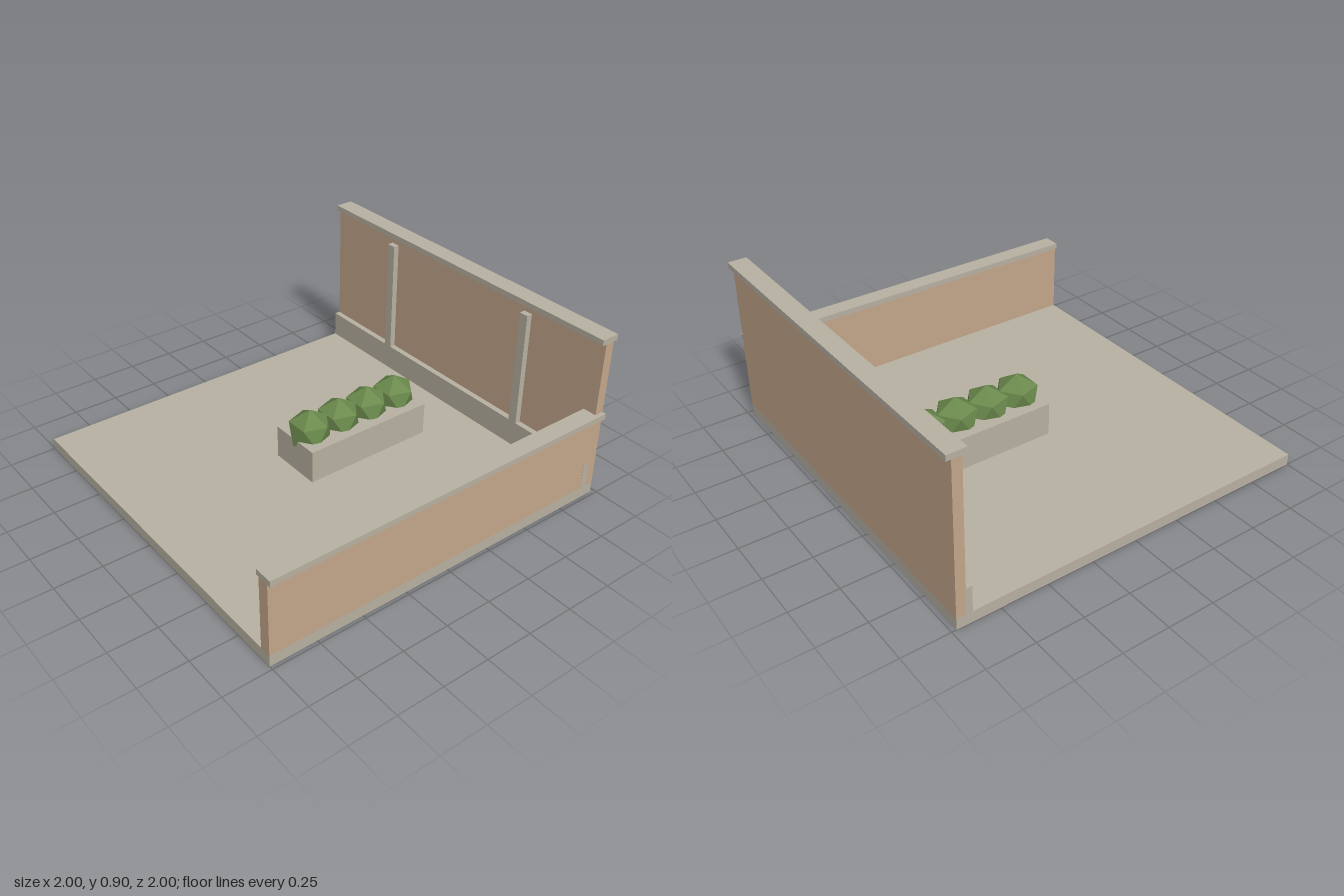
import * as THREE from 'three';

export function createModel() {
  const model = new THREE.Group();
  model.name = 'gardenCorner';

  const stone = new THREE.MeshStandardMaterial({ color: 0xb8b1a2 });
  const plaster = new THREE.MeshStandardMaterial({ color: 0xc4a68b });
  const leaf = new THREE.MeshStandardMaterial({ color: 0x6b8a4d, flatShading: true });

  // Box given by its minimum and maximum corners
  function box(name, material, [x0, y0, z0], [x1, y1, z1]) {
    const mesh = new THREE.Mesh(new THREE.BoxGeometry(x1 - x0, y1 - y0, z1 - z0), material);
    mesh.position.set((x0 + x1) / 2, (y0 + y1) / 2, (z0 + z1) / 2);
    mesh.name = name;
    model.add(mesh);
  }

  // Floor slab
  box('floor', stone, [-1, 0, -1], [0.975, 0.06, 0.98]);

  // Low front wall with coping
  box('frontWall', plaster, [-1, 0.06, 0.92], [0.975, 0.45, 0.98]);
  box('frontCoping', stone, [-1, 0.45, 0.905], [0.975, 0.48, 1]);

  // Tall side wall with coping, plinth and two pilasters
  box('sideWall', plaster, [0.925, 0.06, -1], [0.976, 0.87, 0.979]);
  box('sideCoping', stone, [0.9, 0.87, -1], [1, 0.9, 0.979]);
  box('plinth', stone, [0.893, 0.06, -1], [0.93, 0.2, 0.981]);
  for (const z of [-0.51, 0.49]) {
    box('pilaster', stone, [0.893, 0.2, z - 0.025], [0.93, 0.83, z + 0.025]);
  }

  // Planter
  box('planter', stone, [-0.14, 0.06, -0.16], [0.6, 0.24, 0.135]);

  // Row of faceted shrubs, each standing on a vertex
  const shrub = new THREE.IcosahedronGeometry(0.12, 0);
  shrub.rotateZ(-Math.atan(2 / (1 + Math.sqrt(5))));
  for (let i = 0; i < 4; i++) {
    const mesh = new THREE.Mesh(shrub, leaf);
    mesh.position.set(-0.043 + i * 0.184, 0.26, -0.012);
    mesh.name = 'shrub';
    model.add(mesh);
  }

  return model;
}
